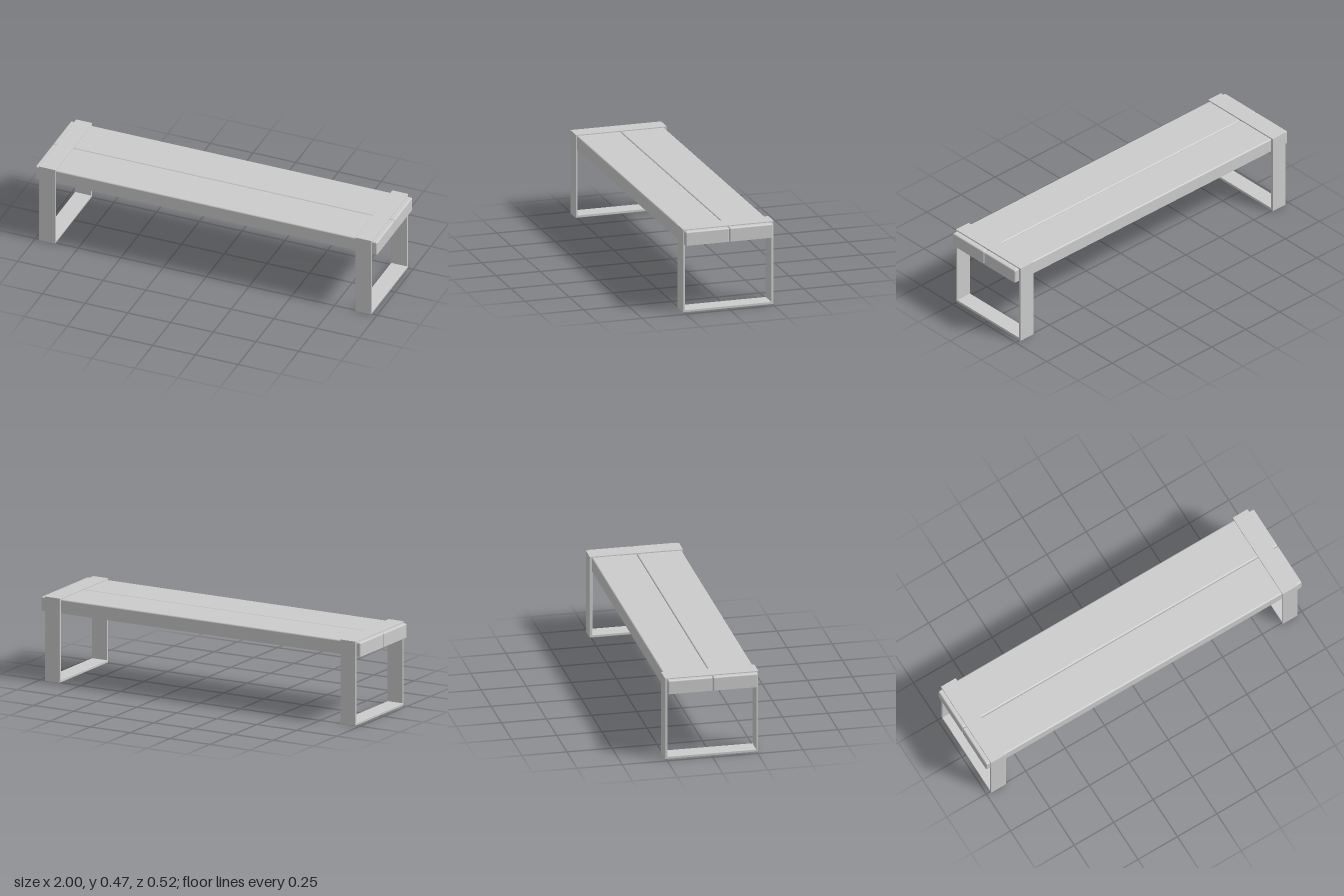
import * as THREE from 'three';
import { RoundedBoxGeometry } from 'three/addons/geometries/RoundedBoxGeometry.js';

const material = new THREE.MeshStandardMaterial({ color: 0xcccccc });

// Seat plank: softened top and ends, flat sharp-edged underside
function plankGeometry(length, height, depth, radius) {
  const geometry = new RoundedBoxGeometry(length, height * 2, depth, 3, radius);
  const pos = geometry.attributes.position;
  const normal = geometry.attributes.normal;
  for (let i = 0; i < pos.count; i++) {
    if (pos.getY(i) < 0) pos.setY(i, 0);
    if (normal.getY(i) < -0.1) normal.setXYZ(i, 0, -1, 0);
  }
  return geometry;
}

function rectangle(target, z0, z1, y0, y1) {
  target.moveTo(z0, y0);
  target.lineTo(z1, y0);
  target.lineTo(z1, y1);
  target.lineTo(z0, y1);
  target.closePath();
  return target;
}

// Leg frame: flat bar bent into a closed rectangle, wrapped around the planks
function frameGeometry(width) {
  const bevel = 0.002;
  const shape = rectangle(new THREE.Shape(), -0.258, 0.258, 0, 0.47);
  shape.holes.push(rectangle(new THREE.Path(), -0.243, 0.247, 0.015, 0.456));
  const geometry = new THREE.ExtrudeGeometry(shape, {
    depth: width - 2 * bevel,
    bevelThickness: bevel,
    bevelSize: bevel,
    bevelOffset: -bevel,
    bevelSegments: 2,
  });
  geometry.translate(0, 0, -(width - 2 * bevel) / 2);
  geometry.rotateY(-Math.PI / 2);
  return geometry;
}

export function createModel() {
  const bench = new THREE.Group();
  bench.name = 'bench';

  // Two planks side by side
  const plank = plankGeometry(2, 0.078, 0.248, 0.008);
  for (const [name, z] of [['frontPlank', 0.1275], ['backPlank', -0.1215]]) {
    const mesh = new THREE.Mesh(plank, material);
    mesh.name = name;
    mesh.position.set(0, 0.385, z);
    bench.add(mesh);
  }

  // One frame near each end
  const frame = frameGeometry(0.095);
  for (const [name, x] of [['leftLegFrame', 0.922], ['rightLegFrame', -0.928]]) {
    const mesh = new THREE.Mesh(frame, material);
    mesh.name = name;
    mesh.position.x = x;
    bench.add(mesh);
  }
  return bench;
}
